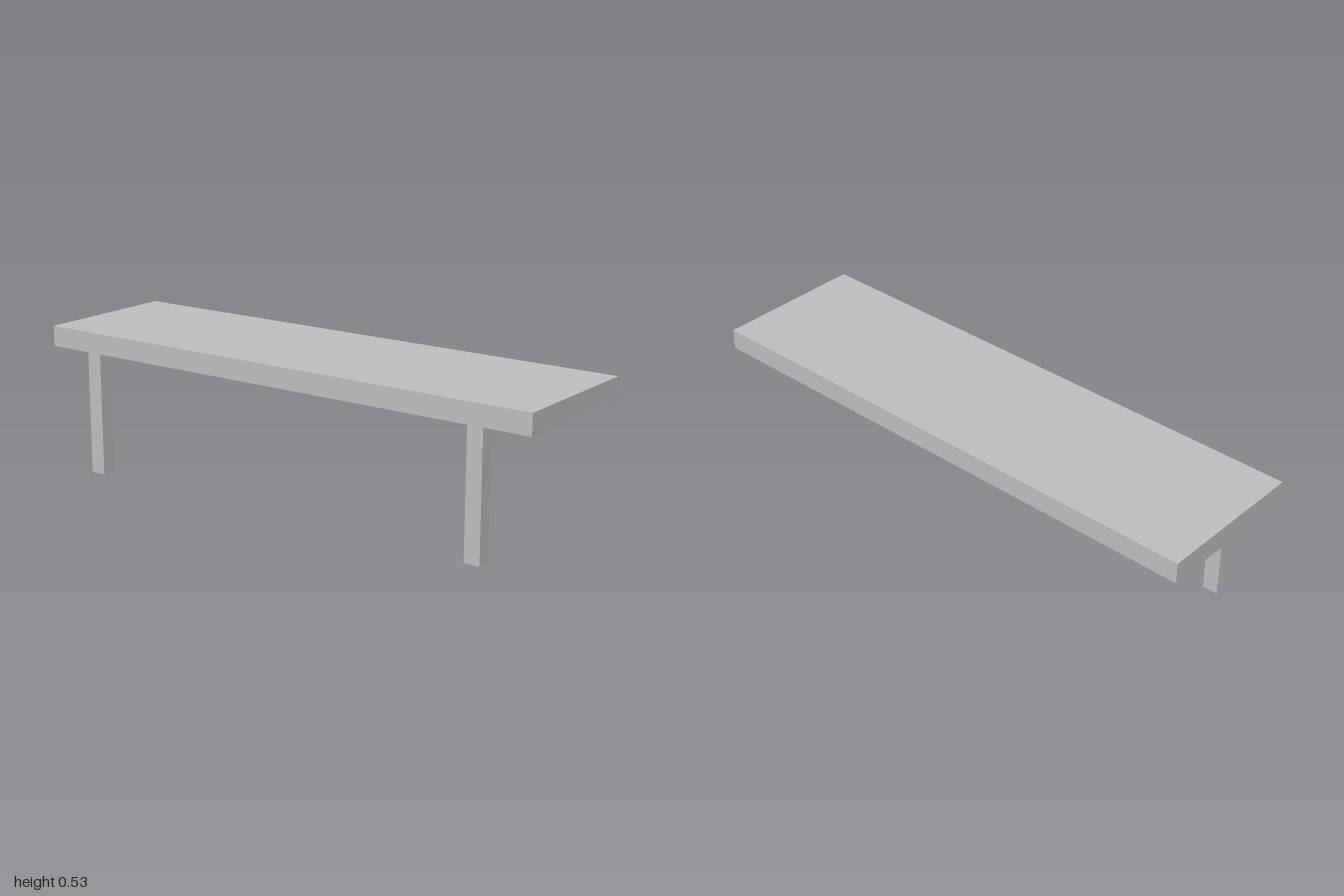
import * as THREE from 'three';

export function createModel() {
  const group = new THREE.Group();
  const grey = new THREE.MeshStandardMaterial({ color: 0xbfbfbf });
  grey.name = 'light grey';

  // Slab seat on top
  const seat = new THREE.Mesh(new THREE.BoxGeometry(2, 0.075, 0.553), grey);
  seat.name = 'seat';
  seat.position.y = 0.4895;
  group.add(seat);

  // L-shaped support profile: front leg with an arm running back under the seat
  const front = 0.2765, inner = 0.2265, back = -0.165, armBottom = 0.402, top = 0.452;
  const profile = new THREE.Shape([
    [-front, 0], [-inner, 0], [-inner, armBottom],
    [-back, armBottom], [-back, top], [-front, top],
  ].map(([x, y]) => new THREE.Vector2(x, y)));
  const width = 0.058;
  const supportGeometry = new THREE.ExtrudeGeometry(profile, { depth: width, bevelEnabled: false })
    .translate(0, 0, -width / 2)
    .rotateY(Math.PI / 2);

  for (const [name, x] of [['leftLeg', 0.801], ['rightLeg', -0.801]]) {
    const leg = new THREE.Mesh(supportGeometry, grey);
    leg.name = name;
    leg.position.x = x;
    group.add(leg);
  }
  return group;
}
